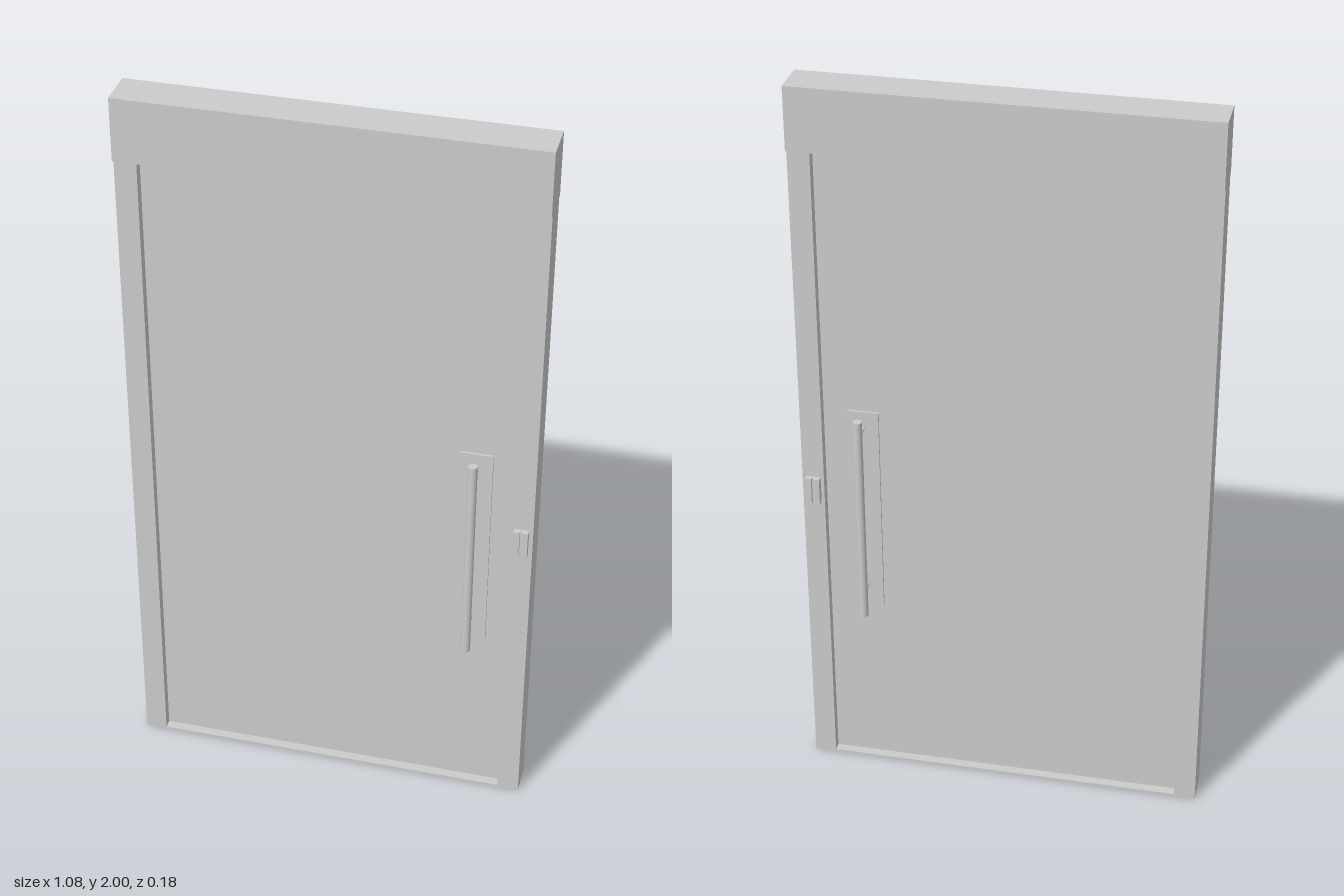
import * as THREE from 'three';

export function createModel() {
  const model = new THREE.Group();
  const mat = new THREE.MeshStandardMaterial({ color: 0xcccccc });

  // Box given by its min and max corners
  const box = (name, parent, x0, x1, y0, y1, z0, z1) => {
    const m = new THREE.Mesh(new THREE.BoxGeometry(x1 - x0, y1 - y0, z1 - z0), mat);
    m.name = name;
    m.position.set((x0 + x1) / 2, (y0 + y1) / 2, (z0 + z1) / 2);
    parent.add(m);
    return m;
  };
  const rod = (name, parent, r, length, x, y, z) => {
    const m = new THREE.Mesh(new THREE.CylinderGeometry(r, r, length, 16), mat);
    m.name = name;
    m.position.set(x, y, z);
    parent.add(m);
    return m;
  };

  const W = 0.538, inner = 0.48, frameZ = 0.0425, doorZ = 0.0175, headY = 1.83;

  // Frame: header box, jambs and a thin threshold
  box('header', model, -W, W, headY, 2, -0.0535, 0.0535);
  box('rightJamb', model, -W, -inner, 0, headY, -frameZ, frameZ);
  box('leftJamb', model, inner, W, 0, headY, -frameZ, frameZ);
  box('threshold', model, -inner, inner, 0, 0.006, -frameZ, frameZ);

  // Recessed door leaf
  box('doorPanel', model, -inner, inner, 0.006, headY, -doorZ, doorZ);

  // Pull handle and lock on both faces
  for (const s of [1, -1]) {
    const side = s > 0 ? 'front' : 'back';
    const span = (a, b) => (s > 0 ? [a, b] : [-b, -a]);

    const handle = new THREE.Group();
    handle.name = side + 'Handle';
    model.add(handle);
    const cx = 0.3775 + s * 0.003, barZ = 0.0755;
    box('backPlate', handle, cx - 0.042, cx + 0.042, 0.503, 1.102, ...span(doorZ, doorZ + 0.006));
    rod('gripBar', handle, 0.0125, 0.599, cx, 0.8025, s * barZ);
    for (const y of [0.57, 1.053]) {
      rod('post', handle, 0.005, barZ - doorZ, cx, y, s * (barZ + doorZ) / 2).rotation.x = Math.PI / 2;
    }

    // Lock: base plate carrying two raised pads
    const lock = new THREE.Group();
    lock.name = side + 'Lock';
    model.add(lock);
    box('lockPlate', lock, 0.489, 0.527, 0.826, 0.902, ...span(frameZ, 0.05));
    box('innerPad', lock, 0.489, 0.505, 0.826, 0.902, ...span(0.05, 0.059));
    box('outerPad', lock, 0.511, 0.527, 0.826, 0.902, ...span(0.05, 0.059));
  }
  return model;
}
